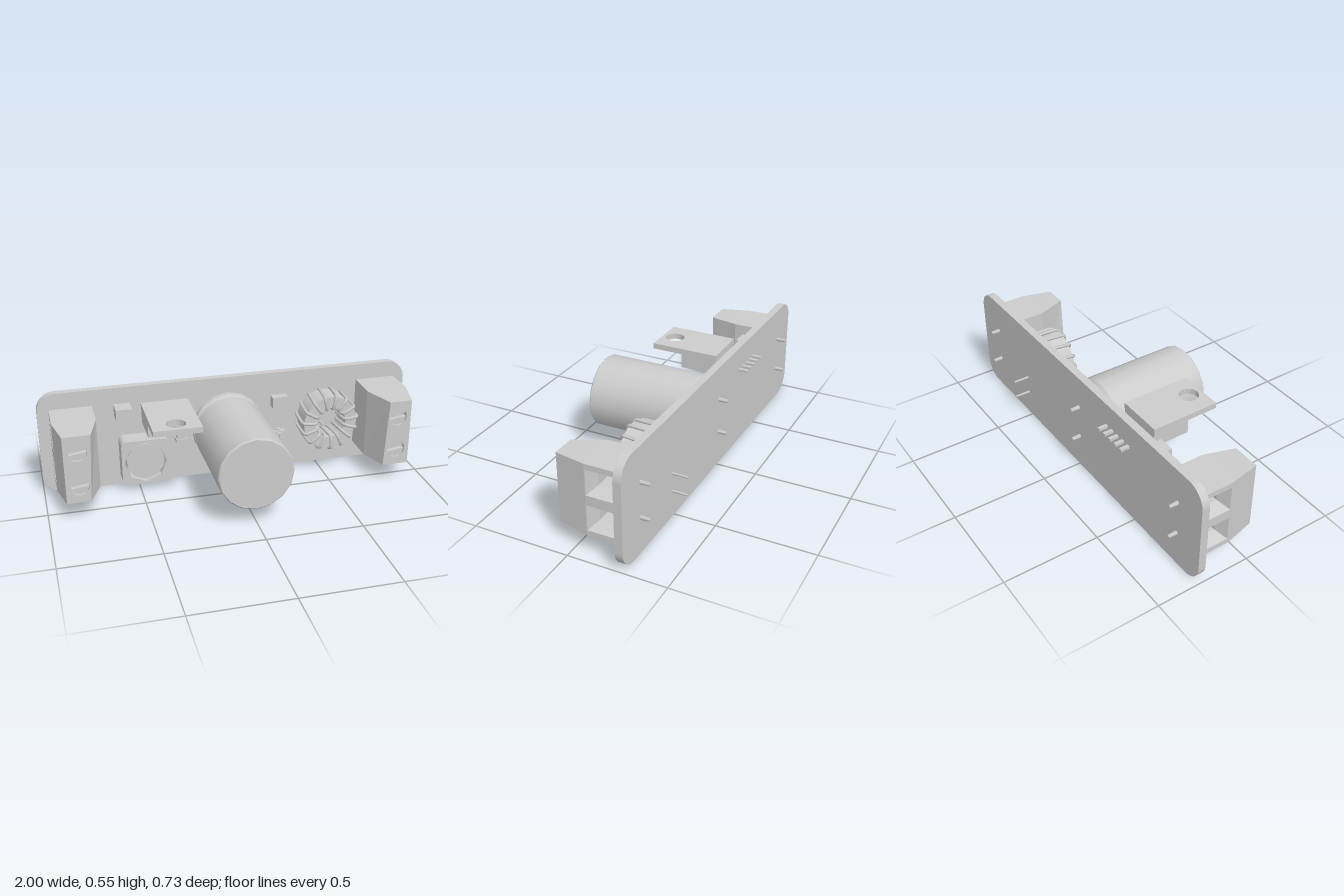
import * as THREE from 'three';
import { toCreasedNormals } from 'three/addons/utils/BufferGeometryUtils.js';

const mat = new THREE.MeshStandardMaterial({ color: 0xcccccc });
const FACE = -0.245; // front surface of the board
const BACK = -0.285;

function add(parent, name, geo, x = 0, y = 0, z = 0) {
  const m = new THREE.Mesh(geo, mat);
  m.name = name;
  m.position.set(x, y, z);
  parent.add(m);
  return m;
}
// Box given by its limits
function box(parent, name, x0, x1, y0, y1, z0, z1) {
  return add(parent, name, new THREE.BoxGeometry(x1 - x0, y1 - y0, z1 - z0),
    (x0 + x1) / 2, (y0 + y1) / 2, (z0 + z1) / 2);
}
// Cylinder lying along z
function rod(parent, name, x, y, z0, z1, r, n = 12, rTip = r) {
  const g = new THREE.CylinderGeometry(r, rTip, z1 - z0, n).rotateX(Math.PI / 2);
  return add(parent, name, g, x, y, (z0 + z1) / 2);
}
function rect(Type, x0, x1, y0, y1) {
  const pts = [[x0, y0], [x1, y0], [x1, y1], [x0, y1]].map(p => new THREE.Vector2(...p));
  return new Type(pts);
}
function roundRect(x0, x1, y0, y1, r) {
  const s = new THREE.Shape();
  s.absarc(x1 - r, y0 + r, r, -Math.PI / 2, 0);
  s.absarc(x1 - r, y1 - r, r, 0, Math.PI / 2);
  s.absarc(x0 + r, y1 - r, r, Math.PI / 2, Math.PI);
  s.absarc(x0 + r, y0 + r, r, Math.PI, Math.PI * 1.5);
  return s;
}
function circleHole(x, y, r) {
  const p = new THREE.Path();
  p.absarc(x, y, r, 0, Math.PI * 2, true);
  return p;
}
const extrude = (shape, depth, curveSegments = 8) =>
  new THREE.ExtrudeGeometry(shape, { depth, bevelEnabled: false, curveSegments });
// Move every vertex by a rule
function reshape(geo, rule) {
  const p = geo.attributes.position, v = new THREE.Vector3();
  for (let i = 0; i < p.count; i++) {
    rule(v.fromBufferAttribute(p, i));
    p.setXYZ(i, v.x, v.y, v.z);
  }
  geo.computeVertexNormals();
  return geo;
}

// Two-way screw terminal; +x is the wire entry side
function terminal(name) {
  const g = new THREE.Group();
  g.name = name;
  const H = 0.186, rows = [-0.092, 0.092], zc = -0.145;

  // tapered front with screw wells
  const front = rect(THREE.Shape, -0.11, 0.11, -H, H);
  rows.forEach(y => front.holes.push(circleHole(0.005, y, 0.048)));
  add(g, 'terminalFront', reshape(extrude(front, 0.16, 6), v => {
    if (v.z > 0.1 && v.x > 0.1) v.x = 0.075;
    if (v.z > 0.1 && v.x < -0.1) v.x = v.y > 0 ? -0.045 : -0.065;
    if (v.z > 0.1 && Math.abs(v.y) > 0.18) v.y *= 0.97;
  }), 0, 0, -0.07);

  // solid rear and wire entries that narrow to square pockets
  box(g, 'terminalRear', -0.11, -0.03, -H, H, FACE, -0.07);
  const wall = (hw, hh, depth, x, shrink) => {
    const s = rect(THREE.Shape, 0.07, -FACE, -H, H);
    rows.forEach(y => s.holes.push(rect(THREE.Path, -zc - hw, -zc + hw, y - hh, y + hh)));
    const geo = reshape(extrude(s, depth), v => {
      const inHole = v.x > 0.071 && v.x < -FACE - 0.001;
      if (shrink && inHole && v.z < 0.001) {
        const yc = Math.sign(v.y) * 0.092;
        v.x = -zc + (v.x + zc) * 0.55;
        v.y = yc + (v.y - yc) * 0.57;
      }
    });
    add(g, 'wireEntry', geo.rotateY(Math.PI / 2), x, 0, 0);
  };
  wall(0.07, 0.066, 0.06, 0.05, true);
  wall(0.0385, 0.0376, 0.08, -0.03, false);

  // slotted screws and solder pins
  for (const y of rows) {
    rod(g, 'screw', 0.005, y, -0.07, 0.055, 0.047, 10);
    for (const a of [0.15, Math.PI + 0.15]) {
      const half = new THREE.Shape();
      half.absarc(0, 0, 0.046, 0.22, Math.PI - 0.22);
      add(g, 'screwHead', extrude(half, 0.025, 6), 0.005, y, 0.055).rotation.z = a;
    }
    rod(g, 'terminalPin', 0, y, -0.332, BACK, 0.012, 6, 0.009);
  }
  return g;
}

function capacitor(parent) {
  const profile = [[0, 0], [0.185, 0], [0.195, 0.02], [0.193, 0.045], [0.178, 0.06], [0.178, 0.066],
    [0.192, 0.08], [0.192, 0.6], [0.186, 0.606], [0, 0.606]].map(p => new THREE.Vector2(...p));
  const geo = toCreasedNormals(new THREE.LatheGeometry(profile, 16).rotateX(Math.PI / 2), 0.6);
  add(parent, 'capacitor', geo, -0.01, 0.282, FACE);
  for (const y of [0.19, 0.374]) rod(parent, 'capacitorPin', -0.01, y, -0.332, BACK, 0.013, 6, 0.01);
}

function regulator(parent) {
  // metal tab with a mounting hole, shape y runs along z
  const tab = rect(THREE.Shape, -0.48, -0.235, -0.2, 0.163);
  tab.holes.push(circleHole(-0.355, -0.13, 0.05));
  add(parent, 'regulatorTab', extrude(tab, 0.03, 7).rotateX(-Math.PI / 2), 0, 0.462, 0);
  box(parent, 'regulatorBody', -0.478, -0.237, 0.386, 0.464, -0.162, 0.035);
  for (let i = 0; i < 5; i++) {
    const x = -0.448 + i * 0.0455;
    box(parent, 'regulatorLead', x - 0.009, x + 0.009, 0.42, 0.434, -0.333, -0.16);
  }
}

function toroid(parent) {
  const g = new THREE.Group();
  g.name = 'toroidCoil';
  g.position.set(0.52, 0.305, -0.138);
  parent.add(g);
  const ring = [[0.085, -0.062], [0.147, -0.062], [0.147, 0.062], [0.085, 0.062], [0.085, -0.062]];
  const core = new THREE.LatheGeometry(ring.map(p => new THREE.Vector2(...p)), 28).rotateX(Math.PI / 2);
  add(g, 'toroidCore', toCreasedNormals(core, 0.6));
  // wire turns, slightly skewed
  const turn = [[0.078, -0.055], [0.092, -0.07], [0.14, -0.07], [0.154, -0.055],
    [0.154, 0.055], [0.14, 0.07], [0.092, 0.07], [0.078, 0.055]];
  const path = new THREE.CatmullRomCurve3(
    turn.map(([r, z]) => new THREE.Vector3(r, z * 0.08, z)), true, 'catmullrom', 0.3);
  const wire = new THREE.TubeGeometry(path, 28, 0.009, 6, true);
  for (let i = 0; i < 15; i++) add(g, 'winding', wire).rotation.z = (i + 0.25) / 15 * Math.PI * 2;
  for (const y of [0.143, 0.24]) rod(parent, 'coilLead', 0.52, y, -0.367, -0.19, 0.008, 6, 0.006);
}

function smallParts(parent) {
  // shielded inductor: square shell around a round core
  const shell = roundRect(-0.595, -0.345, 0.036, 0.286, 0.03);
  shell.holes.push(circleHole(-0.47, 0.161, 0.112));
  add(parent, 'inductorShell', extrude(shell, 0.098, 4), 0, 0, FACE);
  rod(parent, 'inductorCore', -0.47, 0.161, FACE, -0.157, 0.102, 10);

  // surface-mount chips with end caps
  box(parent, 'chipLeft', -0.61, -0.525, 0.403, 0.465, FACE, -0.157);
  box(parent, 'chipRight', 0.235, 0.32, 0.365, 0.426, FACE, -0.2);
  box(parent, 'chipMiddle', -0.29, -0.243, 0.24, 0.335, FACE, -0.195);
  for (const y of [0.23, 0.327])
    box(parent, 'chipCap', -0.296, -0.237, y, y + 0.018, FACE, -0.19);

  // trimmer with cross-slotted dial and contacts
  box(parent, 'trimmerBase', 0.242, 0.314, 0.148, 0.22, FACE, -0.215);
  rod(parent, 'trimmerDial', 0.278, 0.188, -0.215, -0.2, 0.028, 10);
  box(parent, 'trimmerCross', 0.258, 0.298, 0.184, 0.192, -0.2, -0.195);
  box(parent, 'trimmerCross', 0.274, 0.282, 0.168, 0.208, -0.2, -0.195);
  for (const x of [0.25, 0.306])
    box(parent, 'trimmerContact', x - 0.01, x + 0.01, 0.138, 0.15, FACE, -0.225);
  box(parent, 'trimmerContact', 0.266, 0.29, 0.218, 0.229, FACE, -0.225);
}

export function createModel() {
  const model = new THREE.Group();
  model.name = 'powerBoard';
  add(model, 'board', extrude(roundRect(-1, 1, 0, 0.554, 0.1), 0.04), 0, 0, BACK);

  // the second terminal is the first one turned half round
  const left = terminal('leftTerminal');
  left.position.set(0.83, 0.281, 0);
  const right = terminal('rightTerminal');
  right.position.set(-0.83, 0.281, 0);
  right.rotation.z = Math.PI;
  model.add(left, right);

  capacitor(model);
  regulator(model);
  toroid(model);
  smallParts(model);
  return model;
}
